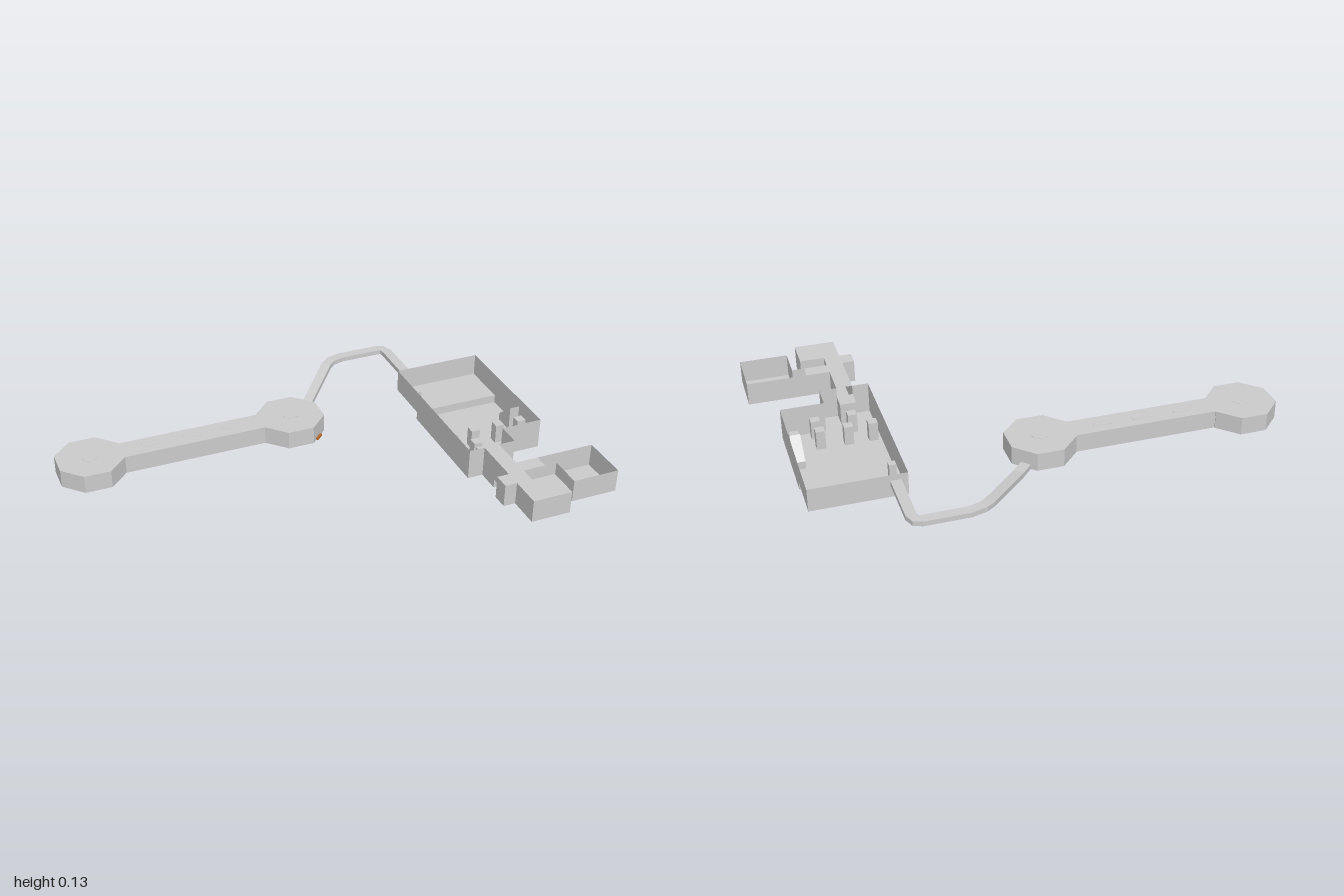
import * as THREE from 'three';

const grey = new THREE.MeshStandardMaterial({ color: 0xcccccc, flatShading: true, side: THREE.DoubleSide });
const orange = new THREE.MeshStandardMaterial({ color: 0xb5652a });

function add(parent, name, geometry, x = 0, y = 0, z = 0, material = grey) {
  const mesh = new THREE.Mesh(geometry, material);
  mesh.name = name;
  mesh.position.set(x, y, z);
  parent.add(mesh);
  return mesh;
}

// Plan outlines are [x, z] pairs
const planShape = (plan) => new THREE.Shape(plan.map(([x, z]) => new THREE.Vector2(x, -z)));
const slab = (plan) => new THREE.ShapeGeometry(planShape(plan)).rotateX(-Math.PI / 2);
const prism = (plan, depth) =>
  new THREE.ExtrudeGeometry(planShape(plan), { depth, bevelEnabled: false }).rotateX(-Math.PI / 2);
const rect = (x0, x1, z0, z1) => [[x0, z0], [x0, z1], [x1, z1], [x1, z0]];

// Joins cross-sections of equal size into a strip
function loft(rings, closedRing) {
  const n = rings[0].length, index = [];
  for (let i = 0; i < rings.length - 1; i++) {
    for (let j = 0; j < (closedRing ? n : n - 1); j++) {
      const a = i * n + j, b = i * n + (j + 1) % n;
      index.push(a, b, a + n, b, b + n, a + n);
    }
  }
  const geometry = new THREE.BufferGeometry();
  geometry.setAttribute('position', new THREE.Float32BufferAttribute(rings.flat(2), 3));
  geometry.setIndex(index);
  const flat = geometry.toNonIndexed();
  flat.computeVertexNormals();
  return flat;
}

// Thin upright walls around a closed plan
const walls = (plan, y0, y1) =>
  loft([y0, y1].map((y) => plan.map(([x, z]) => [x, y, z])), true);

export function createModel() {
  const model = new THREE.Group();
  const low = 0.035, top = 0.13, hallTop = 0.11;

  // Two octagonal halls joined by a straight corridor
  const halls = new THREE.Group();
  halls.name = 'octagonHalls';
  model.add(halls);
  for (const cx of [-0.87, -0.022]) {
    const r = 0.131, c = 0.054;
    const octagon = [[-c, -r], [-r, -c], [-r, c], [-c, r], [c, r], [r, c], [r, -c], [c, -r]];
    add(halls, 'octagonHall', prism(octagon, hallTop - low), cx, low, -0.27);
    add(halls, 'roundSkylight', new THREE.CylinderGeometry(0.034, 0.034, 0.002, 16), cx, hallTop, -0.27);
  }
  add(halls, 'straightCorridor', new THREE.BoxGeometry(0.6, hallTop - low, 0.106), -0.448, (hallTop + low) / 2, -0.268);
  for (const x of [-0.615, -0.445, -0.28]) {
    add(halls, 'corridorSkylight', new THREE.BoxGeometry(0.08, 0.002, 0.02), x, hallTop, -0.27);
  }
  add(halls, 'orangeMarker', new THREE.BoxGeometry(0.04, 0.008, 0.016), 0.065, 0.041, -0.17, orange).rotation.y = Math.PI / 4;

  // Rising tunnel, a square section swept along a bent path
  const path = [
    [0.06, 0.045, -0.36], [0.11, 0.047, -0.415], [0.285, 0.092, -0.622], [0.315, 0.095, -0.645],
    [0.37, 0.095, -0.66], [0.545, 0.095, -0.66], [0.567, 0.095, -0.652], [0.577, 0.095, -0.625], [0.577, 0.095, -0.4],
  ].map((p) => new THREE.Vector3(...p));
  const halfW = 0.021, halfH = 0.01;
  const rings = path.map((p, i) => {
    const before = path[Math.max(i - 1, 0)], after = path[Math.min(i + 1, path.length - 1)];
    const t = after.clone().sub(before).setY(0).normalize();
    return [[-1, -1], [-1, 1], [1, 1], [1, -1]].map(([s, u]) =>
      [p.x - t.z * s * halfW, p.y + u * halfH, p.z + t.x * s * halfW]);
  });
  add(model, 'bentTunnel', loft(rings, true));

  // Open-topped rooms: one wall line runs around all of them
  const rooms = new THREE.Group();
  rooms.name = 'rooms';
  model.add(rooms);
  add(rooms, 'roomWalls', walls([
    [0.66, 0.28], [0.73, 0.28], [0.73, 0.18], [0.905, 0.18], [0.905, -0.4], [0.53, -0.4], [0.53, 0.28],
    [0.595, 0.28], [0.595, 0.48], [0.545, 0.48], [0.545, 0.545], [0.595, 0.545], [0.595, 0.675],
    [0.76, 0.675], [0.76, 0.545], [0.66, 0.545], [0.66, 0.48], [0.805, 0.48], [0.805, 0.615],
    [1, 0.615], [1, 0.42], [0.66, 0.42],
  ], low, top));

  // Sunken part of the main room
  const pit = [
    [0.53, -0.2], [0.53, 0.28], [0.595, 0.28], [0.595, 0.375], [0.66, 0.375],
    [0.66, 0.28], [0.73, 0.28], [0.73, 0.18], [0.905, 0.18], [0.905, -0.2],
  ];
  add(rooms, 'sunkenWalls', walls(pit, 0, low));
  add(rooms, 'sunkenFloor', slab(pit));

  // Raised floors
  add(rooms, 'raisedFloor', slab(rect(0.53, 0.905, -0.4, -0.2)), 0, low);
  add(rooms, 'sideRoomFloor', slab(rect(0.805, 1, 0.42, 0.615)), 0, low);
  const passage = [
    [0.595, 0.48], [0.545, 0.48], [0.545, 0.545], [0.595, 0.545], [0.595, 0.675], [0.76, 0.675],
    [0.76, 0.545], [0.66, 0.545], [0.66, 0.48],
  ];
  add(rooms, 'passageFloor', slab([[0.595, 0.375], ...passage, [0.805, 0.48], [0.805, 0.42], [0.66, 0.42], [0.66, 0.375]]), 0, low);
  add(rooms, 'passageRoof', slab([[0.595, 0.28], ...passage, [0.755, 0.48], [0.755, 0.42], [0.66, 0.42], [0.66, 0.28]]), 0, top);

  // Furnishings of the main room
  const box = (name, x, z, w, d, y0, y1) =>
    add(rooms, name, new THREE.BoxGeometry(w, y1 - y0, d), x, (y0 + y1) / 2, z);
  for (const [x, z] of [[0.562, 0.07], [0.66, 0.07], [0.772, 0.07], [0.873, 0.07], [0.627, 0.156], [0.777, 0.15]]) {
    box('crate', x, z, 0.037, 0.037, 0, 0.08);
  }
  box('smallPost', 0.562, -0.27, 0.028, 0.028, low, 0.095);
  box('doorBlock', 0.628, 0.247, 0.066, 0.07, 0, 0.09);

  // Ramp against the side wall: the box top is lowered towards the back
  const ramp = new THREE.BoxGeometry(0.042, 0.105, 0.085);
  const pos = ramp.attributes.position;
  for (let i = 0; i < pos.count; i++) {
    if (pos.getY(i) > 0 && pos.getZ(i) < 0) pos.setY(i, -0.02);
  }
  ramp.computeVertexNormals();
  add(rooms, 'ramp', ramp, 0.876, 0.0525, -0.023);

  return model;
}
